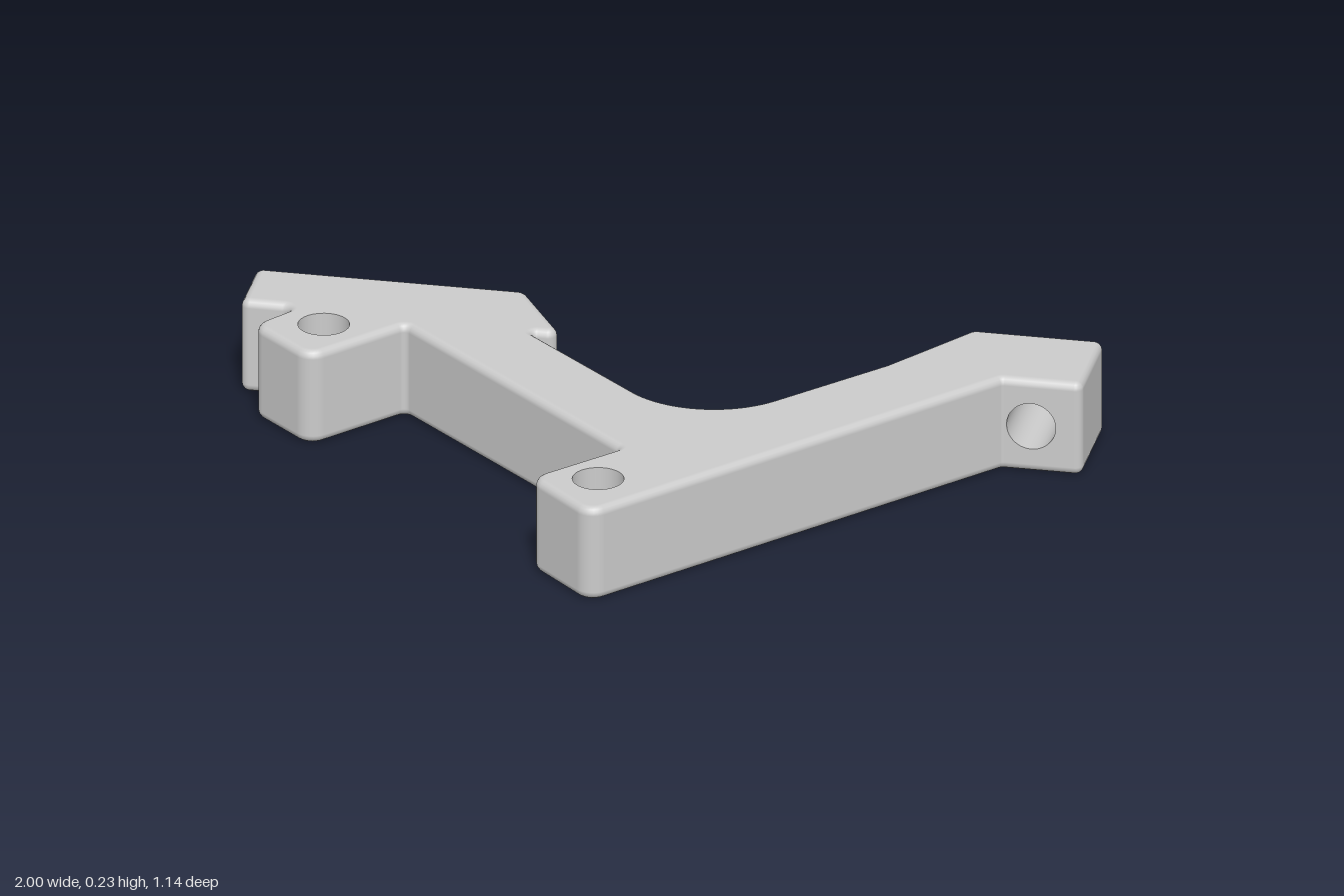
import * as THREE from 'three';

const H = 0.235;      // plate thickness
const BEVEL = 0.02;   // rounding of the top and bottom edges
const BACK = -0.572, FRONT_R = -0.32;

// Outline seen from above: x, z, corner radius
const CORNERS = [
  [-1, BACK, 0.02], [-0.365, BACK, 0.03], [-0.235, -0.36, 0.022], [-0.314, -0.36, 0.008],
  [0.1615, 0.064, 0.227], [0.53, -0.345, 0.1], [0.69, BACK, 0.03], [1, BACK, 0.02],
  [1, FRONT_R, 0.02], [0.812, FRONT_R, 0.01], [0.02, 0.59, 0.045], [-0.155, 0.42, 0.045],
  [0.02, 0.225, 0.015], [-0.6, -0.335, 0.015], [-0.785, -0.12, 0.045], [-0.95, -0.27, 0.045],
  [-0.865, -0.385, 0.018], [-1, -0.385, 0.02],
];
const PIN_HOLES = [[-0.785, -0.295], [0.005, 0.405]];                    // vertical: x, z
const SIDE_HOLES = [                                                     // in the upright faces
  { x: -0.88, z: BACK, face: -1 }, { x: 0.88, z: BACK, face: -1 }, { x: 0.88, z: FRONT_R, face: 1 },
];
const R = 0.06, SIDE_R = 0.058;

// Rounded outline: points with exact outward normals
function roundedOutline() {
  const out = [], n = CORNERS.length;
  const P = CORNERS.map(([x, z]) => new THREE.Vector2(x, z));
  const normal = (a, b) => {
    const d = b.clone().sub(a).normalize();
    return new THREE.Vector2(d.y, -d.x);
  };
  for (let i = 0; i < n; i++) {
    const r = CORNERS[i][2], p = P[i];
    const n0 = normal(P[(i + n - 1) % n], p), n1 = normal(p, P[(i + 1) % n]);
    const turn = Math.atan2(n0.cross(n1), n0.dot(n1)), s = Math.sign(turn);
    const c = p.clone().addScaledVector(n0.clone().add(n1), -s * r / (1 + n0.dot(n1)));
    const steps = r > 0.2 ? 20 : 8;
    for (let k = 0; k <= steps; k++) {
      const m = n0.clone().rotateAround(new THREE.Vector2(), turn * k / steps);
      out.push({ p: c.clone().addScaledVector(m, s * r), n: m });
    }
  }
  return out;
}

// Upright walls with rounded upper and lower edges, left open where a drilled face goes
function wallGeometry(outline) {
  const profile = [];
  for (const [from, base] of [[-Math.PI / 2, BEVEL], [0, H - BEVEL]]) {
    for (let k = 0; k <= 4; k++) {
      const a = from + k * Math.PI / 8;
      profile.push({ inset: BEVEL * (1 - Math.cos(a)), y: base + BEVEL * Math.sin(a), c: Math.cos(a), s: Math.sin(a) });
    }
  }
  const pos = [], nor = [], idx = [], m = profile.length;
  for (const { p, n } of outline) {
    for (const q of profile) {
      pos.push(p.x - n.x * q.inset, q.y, p.y - n.y * q.inset);
      nor.push(n.x * q.c, q.s, n.y * q.c);
    }
  }
  outline.forEach((o, i) => {
    const i1 = (i + 1) % outline.length;
    const drilled = spanHole(o.p, outline[i1].p);
    for (let j = 0; j < m - 1; j++) {
      if (drilled && j === 4) continue;
      const a = i * m + j, b = i1 * m + j;
      idx.push(b, a, a + 1, b, a + 1, b + 1);
    }
  });
  const g = new THREE.BufferGeometry();
  g.setAttribute('position', new THREE.Float32BufferAttribute(pos, 3));
  g.setAttribute('normal', new THREE.Float32BufferAttribute(nor, 3));
  g.setIndex(idx);
  return g;
}

// The side hole, if any, that lies on a wall segment
function spanHole(a, b) {
  return SIDE_HOLES.find(h => Math.abs(a.y - h.z) < 1e-4 && Math.abs(b.y - h.z) < 1e-4 &&
    Math.min(a.x, b.x) < h.x && Math.max(a.x, b.x) > h.x);
}

function circlePath(x, y, r) {
  return new THREE.Path().absarc(x, y, r, 0, Math.PI * 2, true);
}

// Flat top (dir 1) or bottom (dir -1) with the pin holes
function capGeometry(outline, dir) {
  const shape = new THREE.Shape(outline.map(({ p, n }) =>
    new THREE.Vector2(p.x - n.x * BEVEL, -dir * (p.y - n.y * BEVEL))));
  shape.holes = PIN_HOLES.map(([x, z]) => circlePath(x, -dir * z, R));
  return new THREE.ShapeGeometry(shape, 20).rotateX(-dir * Math.PI / 2).translate(0, dir > 0 ? H : 0, 0);
}

// Flat upright face with one hole
function drilledFace(a, b, hole) {
  const f = hole.face, s = [a.x * f, b.x * f].sort((u, v) => u - v);
  const shape = new THREE.Shape([[s[0], BEVEL], [s[1], BEVEL], [s[1], H - BEVEL], [s[0], H - BEVEL]]
    .map(([x, y]) => new THREE.Vector2(x, y)));
  shape.holes = [circlePath(hole.x * f, H / 2, SIDE_R)];
  return new THREE.ShapeGeometry(shape, 20).rotateY(f < 0 ? Math.PI : 0).translate(0, 0, hole.z);
}

export function createModel() {
  const group = new THREE.Group();
  group.name = 'angledBracket';
  const grey = new THREE.MeshStandardMaterial({ color: 0xcccccc });
  const inner = new THREE.MeshStandardMaterial({ color: 0xcccccc, side: THREE.BackSide });
  const add = (name, geometry, material = grey) => {
    const mesh = new THREE.Mesh(geometry, material);
    mesh.name = name;
    group.add(mesh);
    return mesh;
  };
  const outline = roundedOutline();

  // Bracket body
  add('bracketWalls', wallGeometry(outline));
  add('topFace', capGeometry(outline, 1));
  add('bottomFace', capGeometry(outline, -1));
  outline.forEach((o, i) => {
    const next = outline[(i + 1) % outline.length].p, hole = spanHole(o.p, next);
    if (hole) add('drilledFace', drilledFace(o.p, next, hole));
  });

  // Vertical pin holes through the lugs
  for (const [x, z] of PIN_HOLES) {
    add('pinHole', new THREE.CylinderGeometry(R, R, H, 40, 1, true).translate(x, H / 2, z), inner);
  }

  // Horizontal screw holes: the right end is open, the left one is blind
  for (const [x, zEnd] of [[0.88, FRONT_R], [-0.88, -0.4]]) {
    const bore = new THREE.CylinderGeometry(SIDE_R, SIDE_R, zEnd - BACK, 40, 1, true).rotateX(Math.PI / 2);
    add('screwHole', bore.translate(x, H / 2, (zEnd + BACK) / 2), inner);
  }
  add('screwHoleEnd', new THREE.CircleGeometry(SIDE_R, 40).rotateY(Math.PI).translate(-0.88, H / 2, -0.4));
  return group;
}
